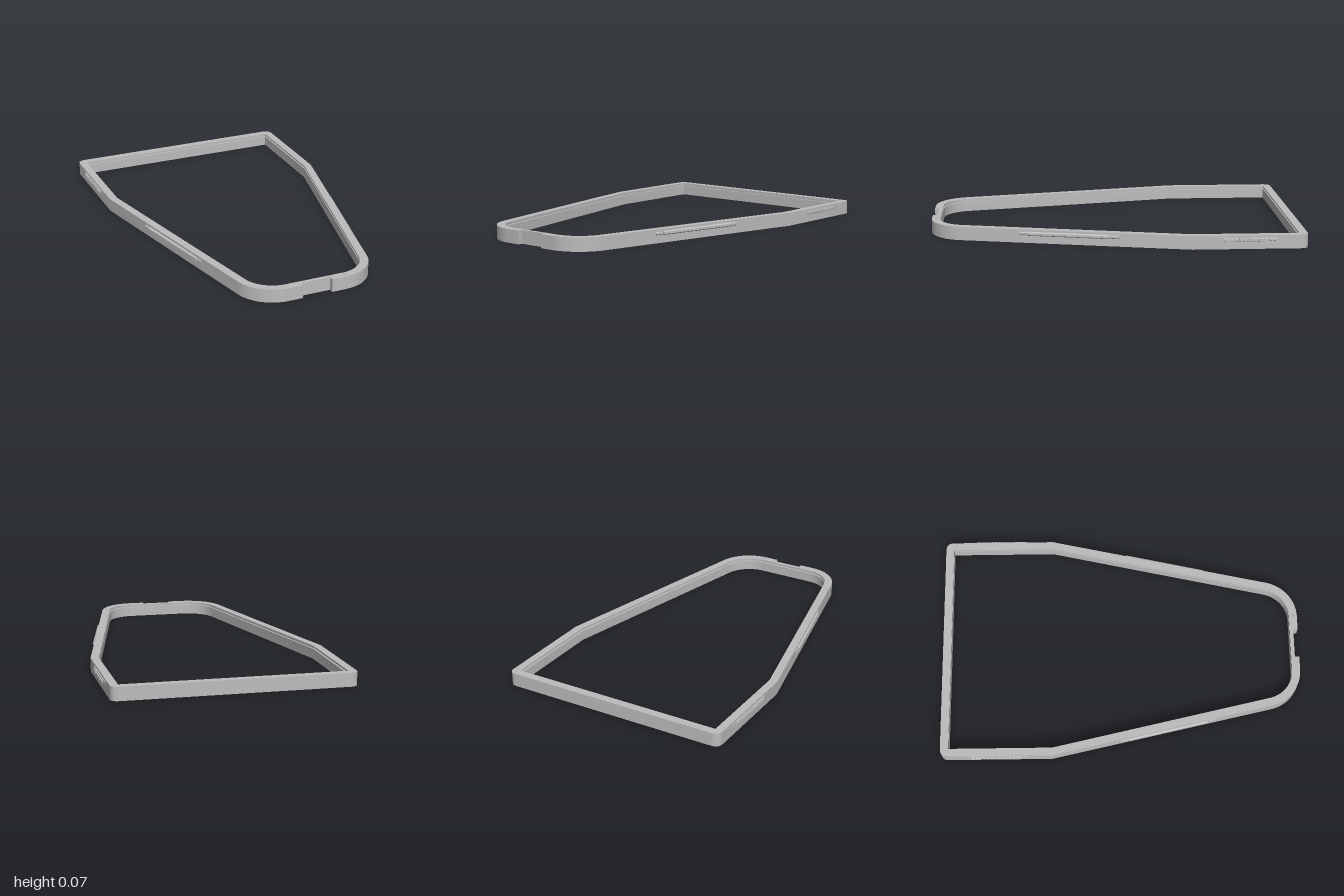
import * as THREE from 'three';
import { toCreasedNormals } from 'three/addons/utils/BufferGeometryUtils.js';

const SLOPE = 0.2246;              // sideways taper of the long rails
const TILT = Math.atan(SLOPE);
const NX = Math.cos(TILT), NZ = Math.sin(TILT);

// Outline in plan (x, -z), counter-clockwise: square back, tapered rails, rounded nose
function outline({ half, back, corner, radius, notch }) {
  const cx = 0.16, cz = 0.787;
  const path = new THREE.Path();
  path.moveTo(-half + corner, back);
  path.lineTo(half - corner, back);
  if (corner) path.quadraticCurveTo(half, back, half, back - corner);
  path.lineTo(half, 0.385);
  path.lineTo(cx + radius * NX, -cz - radius * NZ);
  path.absarc(cx, -cz, radius, -TILT, -Math.PI / 2, true);
  if (notch) {
    path.lineTo(0.082, -cz - radius);
    path.lineTo(0.082, -0.975);
    path.lineTo(-0.082, -0.975);
    path.lineTo(-0.082, -cz - radius);
  }
  path.absarc(-cx, -cz, radius, -Math.PI / 2, -Math.PI + TILT, true);
  path.lineTo(-half, 0.385);
  path.lineTo(-half, back - corner);
  if (corner) path.quadraticCurveTo(-half, back, -half + corner, back);
  return path.getPoints(12).reverse();
}

// One horizontal layer of the frame; inset widens the inner opening
function layer(y0, y1, inset, pinHole) {
  const shape = new THREE.Shape(outline({ half: 0.638, back: 1, corner: 0.045, radius: 0.213, notch: true }));
  shape.holes.push(new THREE.Path(outline({
    half: 0.594 + inset, back: 0.955 + inset, corner: 0, radius: 0.168 + inset, notch: false,
  })));
  if (pinHole) shape.holes.push(new THREE.Path().absarc(0.165, -0.973, 0.009, 0, Math.PI * 2));
  const g = new THREE.ExtrudeGeometry(shape, { depth: y1 - y0, bevelEnabled: false });
  g.rotateX(-Math.PI / 2).translate(0, y0, 0);
  return toCreasedNormals(g, 0.5);
}

// Horizontal rib along z with bevelled upper and lower edges
function rib(length, out, height) {
  const s = new THREE.Shape();
  s.moveTo(-0.006, -height / 2);
  s.lineTo(out * 0.4, -height / 2);
  s.lineTo(out, -height * 0.25);
  s.lineTo(out, height * 0.25);
  s.lineTo(out * 0.4, height / 2);
  s.lineTo(-0.006, height / 2);
  const g = new THREE.ExtrudeGeometry(s, { depth: length, bevelEnabled: false });
  return g.translate(0, 0, -length / 2);
}

// Flat plate along z whose ends taper into the wall
function taperedPlate(length, ramp, out, height) {
  const h = length / 2;
  const s = new THREE.Shape();
  s.moveTo(-0.004, -h);
  s.lineTo(0, -h);
  s.lineTo(out, -h + ramp);
  s.lineTo(out, h - ramp);
  s.lineTo(0, h);
  s.lineTo(-0.004, h);
  const g = new THREE.ExtrudeGeometry(s, { depth: height, bevelEnabled: false });
  return g.rotateX(-Math.PI / 2).translate(0, -height / 2, 0);
}

export function createModel() {
  const model = new THREE.Group();
  model.name = 'taperedFrame';
  const grey = new THREE.MeshStandardMaterial({ color: 0xbcbcbc });
  grey.name = 'grey';
  const add = (parent, name, geometry) => {
    const mesh = new THREE.Mesh(geometry, grey);
    mesh.name = name;
    parent.add(mesh);
    return mesh;
  };

  // Frame with a shallow groove under its inner top lip
  const frame = new THREE.Group();
  frame.name = 'frame';
  model.add(frame);
  add(frame, 'frameWall', layer(0, 0.055, 0, false));
  add(frame, 'innerGroove', layer(0.055, 0.063, 0.01, true));
  add(frame, 'topLip', layer(0.063, 0.073, 0, true));

  for (const side of [1, -1]) {
    const label = side > 0 ? 'left' : 'right';

    // Long rib on the tapered rail, with a stepped stub at each end
    const grip = new THREE.Group();
    grip.name = label + 'RailGrip';
    const z = 0.255;
    grip.position.set(side * (0.637 - SLOPE * (z + 0.385)), 0.051, z);
    grip.rotation.y = side > 0 ? -TILT : Math.PI + TILT;
    add(grip, 'gripRib', rib(0.45, 0.014, 0.022));
    for (const end of [1, -1]) {
      add(grip, 'gripEnd', rib(0.04, 0.008, 0.018)).position.z = end * 0.25;
    }
    model.add(grip);

    // Ridged pad on the straight rear rail
    const pad = new THREE.Group();
    pad.name = label + 'RidgedPad';
    pad.position.set(side * 0.638, 0.051, -0.685);
    if (side < 0) pad.rotation.y = Math.PI;
    add(pad, 'padBase', taperedPlate(0.36, 0.04, 0.007, 0.024));
    for (let i = 0; i < 14; i++) {
      add(pad, 'ridge', rib(0.012, 0.012, 0.02)).position.z = -0.13 + i * 0.02;
    }
    model.add(pad);
  }
  return model;
}
